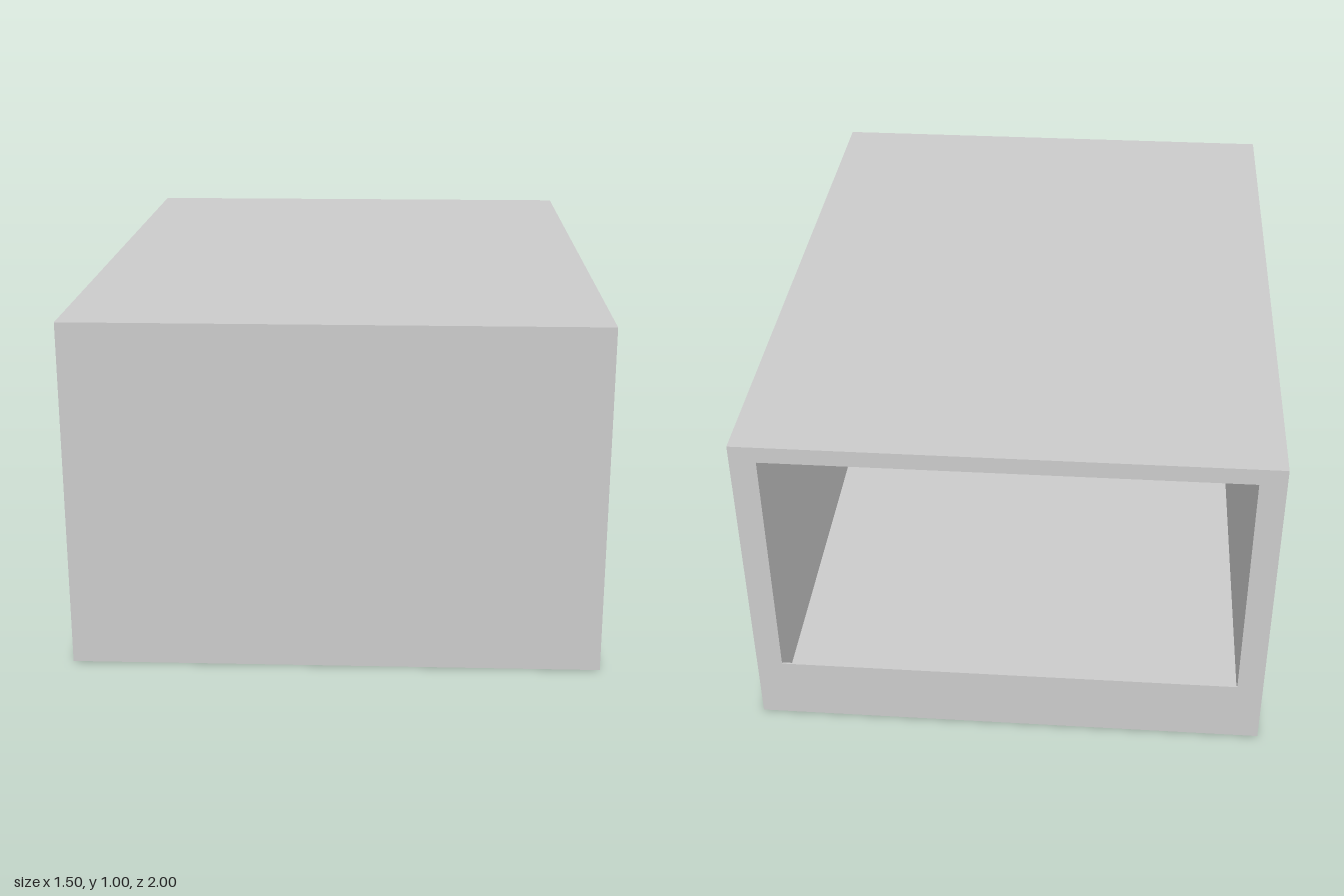
import * as THREE from 'three';

const W = 1.5, H = 1, L = 2;          // outer size
const SIDE = 0.06, WALL = 0.05;       // shell thickness
const LIP = 0.005;                    // thin frame around the rear opening

const material = new THREE.MeshStandardMaterial({ color: 0xcccccc, flatShading: true });

// Corner points of a rectangle in the xy plane
function rect(x0, x1, y0, y1) {
  return [[x0, y0], [x1, y0], [x1, y1], [x0, y1]].map(([x, y]) => new THREE.Vector2(x, y));
}

// Rectangular ring with the outer size of the box, from z0 to z1
function ring(name, hole, z0, z1) {
  const shape = new THREE.Shape(rect(-W / 2, W / 2, 0, H));
  shape.holes.push(new THREE.Path(hole.reverse()));
  const geometry = new THREE.ExtrudeGeometry(shape, { depth: z1 - z0, bevelEnabled: false });
  geometry.translate(0, 0, z0);
  const mesh = new THREE.Mesh(geometry, material);
  mesh.name = name;
  return mesh;
}

export function createModel() {
  const group = new THREE.Group();
  group.name = 'openBox';

  // Floor, ceiling and side walls
  group.add(ring('shell', rect(-W / 2 + SIDE, W / 2 - SIDE, WALL, H - WALL), -L / 2 + LIP, L / 2 - WALL));

  // Rear frame with a raised sill and a wide opening
  group.add(ring('rearFrame', rect(-W / 2 + 0.075, W / 2 - 0.075, 0.2, 0.95), -L / 2, -L / 2 + LIP));

  // Closed front
  const front = new THREE.Mesh(new THREE.BoxGeometry(W, H, WALL), material);
  front.position.set(0, H / 2, L / 2 - WALL / 2);
  front.name = 'frontWall';
  group.add(front);

  return group;
}
